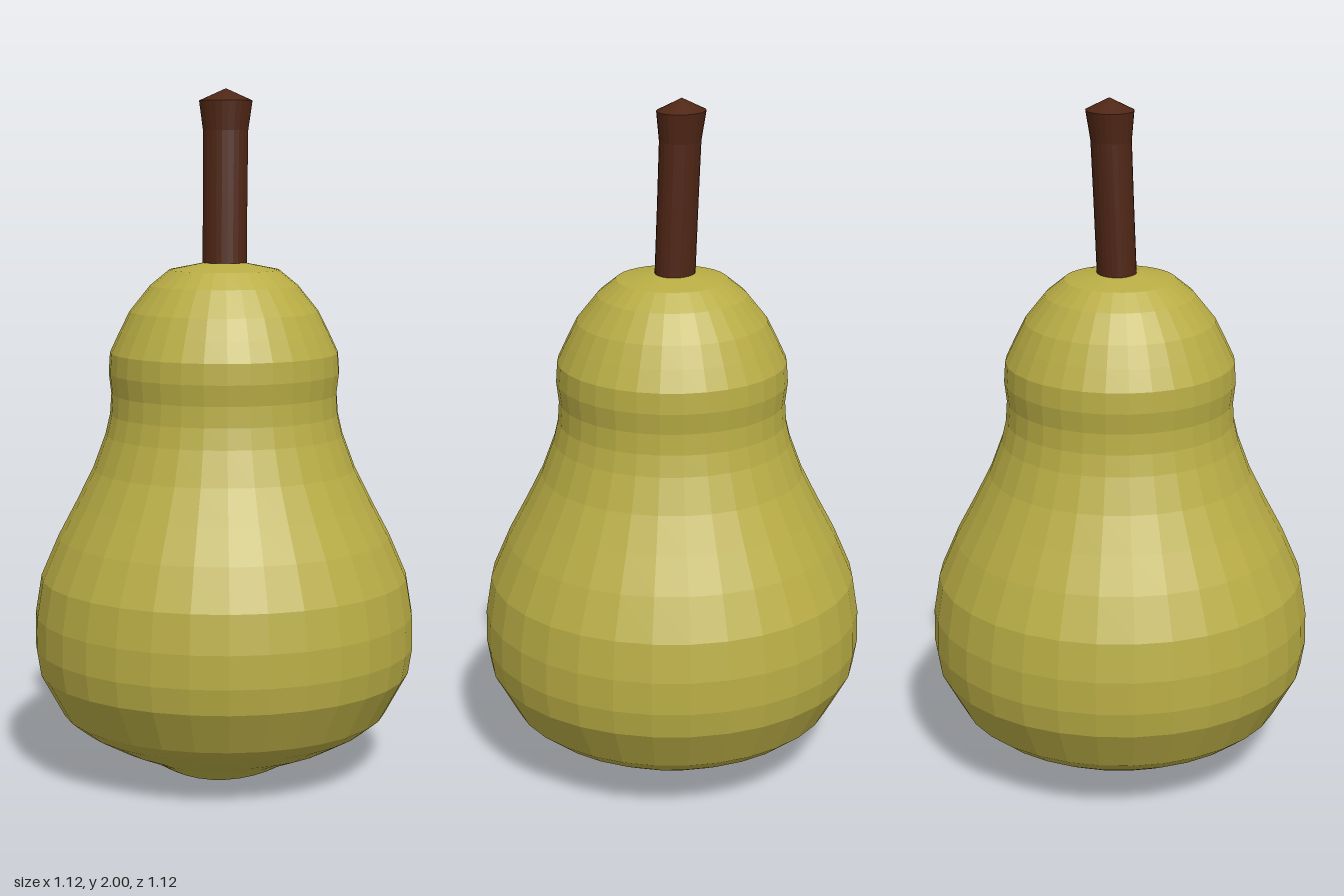
import * as THREE from 'three';

// Revolve a list of [radius, height] pairs, bottom to top
function lathe(profile, sides) {
  return new THREE.LatheGeometry(profile.map(([r, y]) => new THREE.Vector2(r, y)), sides);
}

// Move every vertex by a rule
function reshape(geometry, rule) {
  const pos = geometry.attributes.position;
  const v = new THREE.Vector3();
  for (let i = 0; i < pos.count; i++) {
    rule(v.fromBufferAttribute(pos, i));
    pos.setXYZ(i, v.x, v.y, v.z);
  }
  geometry.computeVertexNormals();
  return geometry;
}

function part(name, geometry, color) {
  const material = new THREE.MeshStandardMaterial({ color, flatShading: true });
  const mesh = new THREE.Mesh(geometry, material);
  mesh.name = name;
  return mesh;
}

export function createModel() {
  const group = new THREE.Group();
  group.name = 'pear';

  // Fruit body, starting inside the hollow underneath
  const body = lathe([
    [0, 0.13], [0.06, 0.125], [0.08, 0.08], [0.115, 0.02], [0.16, 0.002], [0.21, 0.012],
    [0.26, 0.045], [0.34, 0.085], [0.43, 0.135], [0.48, 0.175], [0.548, 0.3],
    [0.56, 0.375], [0.558, 0.47], [0.54, 0.58], [0.488, 0.7], [0.435, 0.8],
    [0.385, 0.9], [0.348, 1.0], [0.334, 1.06], [0.33, 1.12], [0.337, 1.18],
    [0.333, 1.24], [0.305, 1.3], [0.275, 1.36], [0.215, 1.435], [0.16, 1.48],
    [0.06, 1.5], [0, 1.5],
  ], 32);
  // The rim of the hollow rises toward the left and right
  reshape(body, (v) => {
    const r = Math.hypot(v.x, v.z);
    if (v.y > 0.3 || r < 0.001) return;
    const nearRim = Math.max(0, 1 - Math.abs(r - 0.17) / 0.15);
    v.y += 0.035 * nearRim * (v.x / r) ** 2;
  });
  group.add(part('fruitBody', body, 0xb9ad45));

  // Stem: slightly oval, leaning back, flared at a shallow pointed top
  const stem = lathe([
    [0, 1.45], [0.065, 1.45], [0.065, 1.7], [0.066, 1.88], [0.078, 1.965], [0, 2.0],
  ], 24);
  reshape(stem, (v) => {
    v.z = v.z * 0.87 - 0.01 - (v.y - 1.5) * 0.042;
  });
  group.add(part('stem', stem, 0x4f2615));

  return group;
}
